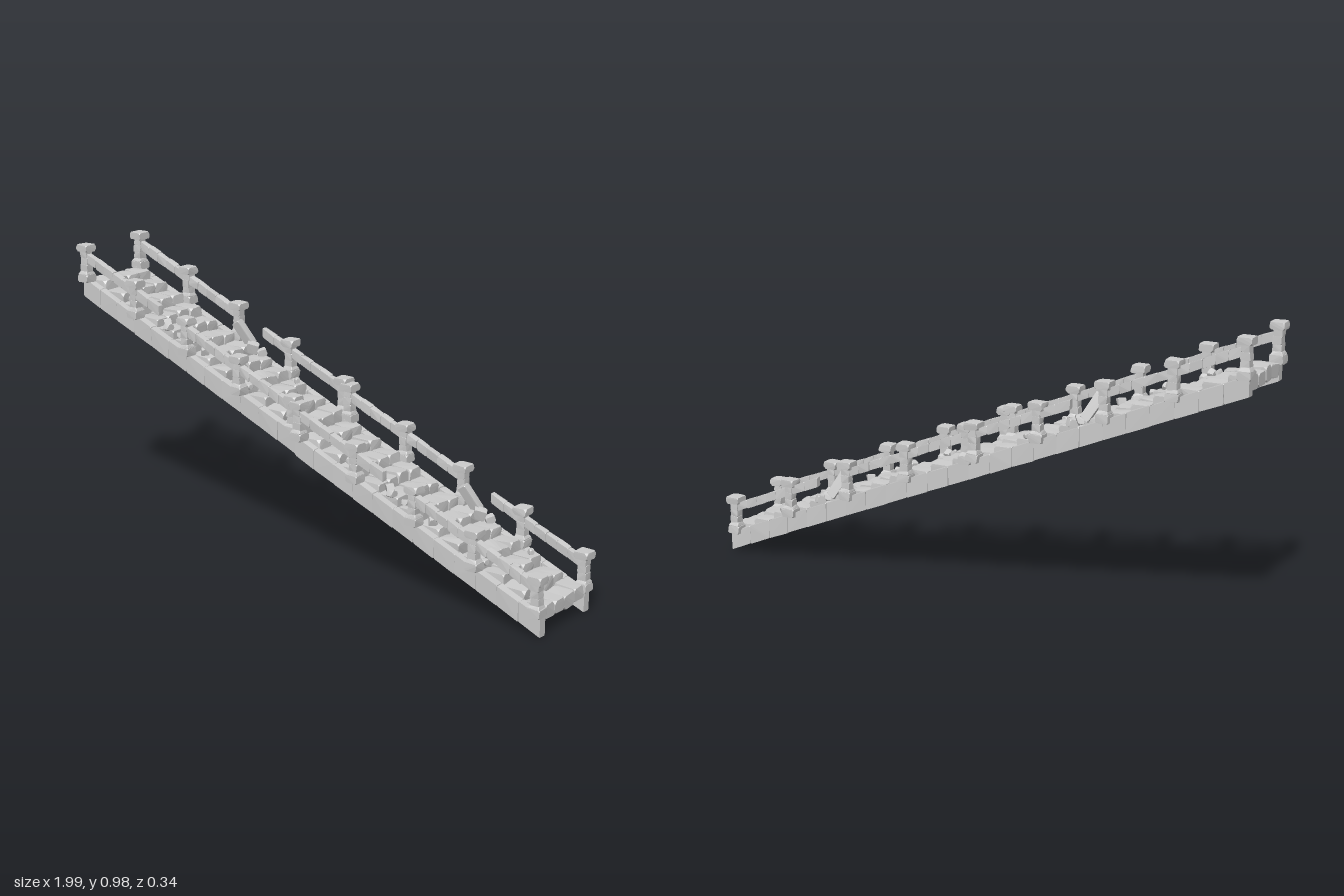
import * as THREE from 'three';
import { mergeGeometries } from 'three/addons/utils/BufferGeometryUtils.js';
import { ConvexGeometry } from 'three/addons/geometries/ConvexGeometry.js';

const SLOPE = -0.4;
const line = (x) => 0.394 + SLOPE * x; // underside of the flight at x

let seed = 7;
const rnd = () => {
  seed = (seed * 16807) % 2147483647;
  return seed / 2147483647 - 0.5;
};

// Chipped stone block: a box with cut corners, small irregularities and optional shear, taper or rotation
function stone(w, h, d, x, y, z, { shear = 0, taper = 1, rot = null, chip = 0.005, rough = 0.003 } = {}) {
  const pts = [];
  for (const sx of [-1, 1]) for (const sy of [-1, 1]) for (const sz of [-1, 1]) {
    const k = sy > 0 ? taper : 1;
    const c = chip * (1 + rnd() * 0.8);
    const p = [sx * w / 2 * k + rnd() * rough, sy * h / 2 + rnd() * rough, sz * d / 2 * k + rnd() * rough];
    for (let a = 0; a < 3; a++) {
      // every corner is replaced by a small triangle
      const q = [...p];
      q[a] -= [sx, sy, sz][a] * c;
      q[1] += shear * q[0];
      const v = new THREE.Vector3(...q);
      if (rot) v.applyEuler(new THREE.Euler(...rot));
      pts.push(v.add(new THREE.Vector3(x, y, z)));
    }
  }
  return new ConvexGeometry(pts);
}

const X0 = -0.988, X1 = -0.003, STEPS = 12;
const RUN = (X1 - X0) / STEPS;
const POSTS = [-0.975, -0.737, -0.498, -0.26, -0.022];

function steps() {
  const out = [];
  for (let i = 0; i < STEPS; i++) {
    const x = X0 + (i + 0.5) * RUN;
    for (let j = 0; j < 4; j++) {
      const z = (j - 1.5) * 0.0585;
      out.push(stone(RUN - 0.001 + rnd() * 0.008, 0.045, 0.0575 + rnd() * 0.004,
        x + rnd() * 0.008, line(x) + 0.055 + rnd() * 0.007, z,
        { chip: 0.009, rough: 0.006, rot: [rnd() * 0.08, rnd() * 0.06, rnd() * 0.06] }));
    }
  }
  return out;
}

function stringer(side) {
  const out = [];
  for (let i = 0; i < STEPS; i++) {
    const x = X0 + (i + 0.5) * RUN;
    out.push(stone(RUN - 0.001, 0.067 + rnd() * 0.003, 0.03 + rnd() * 0.004, x, line(x) + 0.034,
      side * 0.129, { shear: SLOPE, chip: 0.003, rough: 0.002 }));
  }
  return out;
}

function post(x, side) {
  const y = line(x), z = side * 0.137;
  const out = [
    stone(0.046, 0.028, 0.046, x, y + 0.073, z),
    stone(0.042, 0.014, 0.042, x, y + 0.092, z, { taper: 0.75, chip: 0.003 }),
    stone(0.05, 0.025, 0.05, x, y + 0.182, z, { chip: 0.007 }),
  ];
  // stacked shaft stones
  for (let k = 0; k < 3; k++)
    out.push(stone(0.03 + rnd() * 0.004, 0.026, 0.03 + rnd() * 0.004, x + rnd() * 0.003, y + 0.109 + k * 0.025,
      z + rnd() * 0.003, { chip: 0.003 }));
  return out;
}

// Handrail stones in one bay, from xa to xb
function rail(xa, xb, side) {
  const out = [], n = Math.max(2, Math.round((xb - xa) / 0.045)), w = (xb - xa) / n;
  for (let i = 0; i < n; i++) {
    const x = xa + (i + 0.5) * w;
    out.push(stone(w - 0.0005, 0.031 + rnd() * 0.003, 0.024 + rnd() * 0.003, x, line(x) + 0.152, side * 0.137,
      { shear: SLOPE, chip: 0.003, rough: 0.003 }));
  }
  return out;
}

function rails(side) {
  const out = [];
  for (let i = 0; i < 4; i++) {
    let a = POSTS[i] + 0.013, b = POSTS[i + 1] - 0.013;
    if (side > 0 && i === 1) b -= 0.105; // broken bay above the middle post
    if (side < 0 && i === 2) a += 0.105; // broken bay below the middle post
    out.push(...rail(a, b, side));
  }
  return out;
}

function rubble() {
  const out = [
    // fallen rail pieces leaning on the middle post
    stone(0.034, 0.1, 0.028, -0.443, line(-0.443) + 0.118, -0.104, { rot: [0.22, 0.2, 0.5] }),
    stone(0.04, 0.035, 0.03, -0.405, line(-0.405) + 0.09, -0.103, { rot: [0.3, 0.5, -0.4] }),
    stone(0.032, 0.025, 0.026, -0.375, line(-0.375) + 0.085, -0.118, { rot: [0.1, 0.9, 0.2] }),
  ];
  // loose chips along the other side
  for (const [x, z, s] of [[-0.79, 0.1, 0.018], [-0.76, 0.112, 0.022], [-0.63, 0.09, 0.026],
    [-0.605, 0.112, 0.024], [-0.56, 0.1, 0.017], [-0.45, 0.095, 0.024], [-0.24, 0.105, 0.018], [-0.2, -0.1, 0.016]])
    out.push(stone(s * 1.2, s, s, x, line(x) + 0.08 + s / 2, z, { rot: [rnd(), rnd() * 3, rnd()] }));
  return out;
}

export function createModel() {
  const group = new THREE.Group();
  const mat = new THREE.MeshStandardMaterial({ color: 0xcccccc, flatShading: true });
  const flight = new THREE.Group();
  const add = (name, parts) => {
    const mesh = new THREE.Mesh(mergeGeometries(parts), mat);
    mesh.name = name;
    flight.add(mesh);
  };

  add('steps', steps());
  for (const [side, label] of [[1, 'front'], [-1, 'back']]) {
    add(label + 'Stringer', stringer(side));
    add(label + 'Posts', POSTS.flatMap((x) => post(x, side)));
    add(label + 'Handrail', rails(side));
  }
  add('rubble', rubble());

  // Two identical flights in a row, slightly offset sideways
  flight.name = 'upperFlight';
  flight.position.z = -0.004;
  const lower = flight.clone();
  lower.name = 'lowerFlight';
  lower.position.set(0.985, 0.985 * SLOPE, 0.005);
  group.add(flight, lower);
  return group;
}
